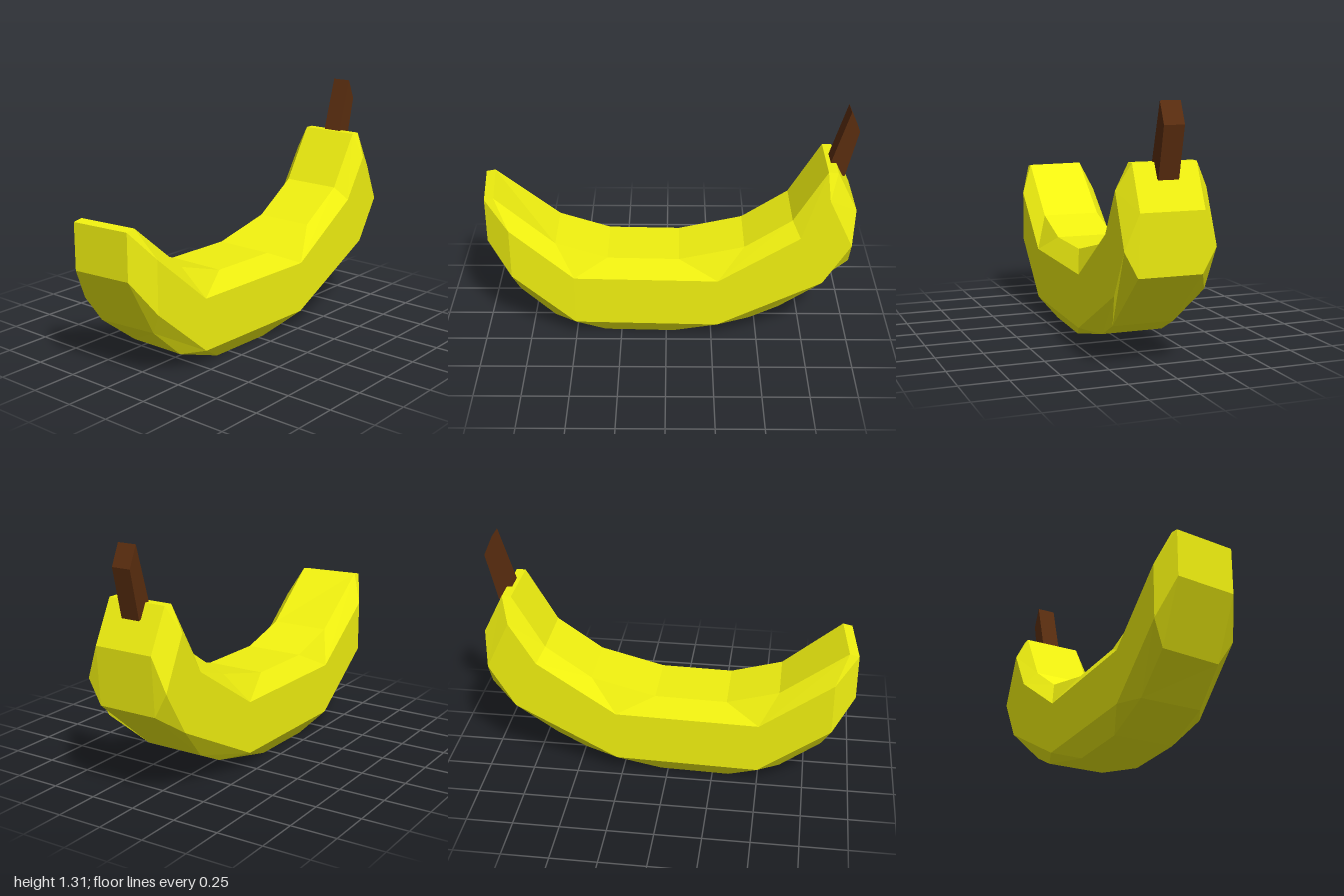
import * as THREE from 'three';

// Side outline stations, clockwise seen from +x, all [z, y].
// side: corner of the flat flank; rim: the one or two points it bevels to on the narrower rim.
const STATIONS = [
  { side: [0.88, 0.67], rim: [[1.0, 0.82], [0.95, 0.83]] }, // front tip, top
  { side: [0.5, 0.38], rim: [[0.6, 0.56], [0.32, 0.475]] },
  { side: [-0.28, 0.38], rim: [[-0.07, 0.475], [-0.42, 0.56]] },
  { side: [-0.71, 0.66], rim: [[-0.67, 0.73]] },
  { side: [-0.85, 0.89], rim: [[-0.84, 1.02], [-0.89, 1.02]] }, // neck under the stem
  { side: [-0.98, 0.62], rim: [[-1.0, 0.8], [-0.98, 0.49]] },
  { side: [-0.84, 0.385], rim: [[-0.62, 0.18]] },
  { side: [-0.28, 0.095], rim: [[-0.46, 0.1], [-0.04, 0]] }, // underside
  { side: [0.5, 0.095], rim: [[0.34, 0], [0.62, 0.095]] },
  { side: [0.88, 0.385], rim: [[0.84, 0.265], [1.0, 0.57]] }, // front tip, bottom
];
const SIDE_HALF = 0.235;
const RIM_HALF = 0.165;

// Place an outline point, with the fruit's slight sideways lean and slanted front tip.
function place([z, y], x) {
  const px = x - 0.03 * z;
  const pz = z > 0.8 ? z - 0.1 * (px + 0.2) : z;
  return [px, y, pz];
}

function bodyGeometry() {
  const pos = [];
  const face = (pts, flip = false) => {
    const p = flip ? [...pts].reverse() : pts;
    for (let i = 1; i < p.length - 1; i++) pos.push(...p[0], ...p[i], ...p[i + 1]);
  };
  const n = STATIONS.length;

  // Flat flanks
  const outline = STATIONS.map((s) => new THREE.Vector2(...s.side));
  const tris = THREE.ShapeUtils.triangulateShape(outline, []);
  for (const sx of [1, -1]) {
    for (const t of tris) {
      const facesLeft = THREE.ShapeUtils.area(t.map((i) => outline[i])) < 0;
      face(t.map((i) => place(STATIONS[i].side, sx * SIDE_HALF)), facesLeft !== (sx > 0));
    }
    // Bevels from flank to rim
    for (let i = 0; i < n; i++) {
      const a = STATIONS[i], b = STATIONS[(i + 1) % n];
      const S = (p) => place(p, sx * SIDE_HALF);
      const R = (p) => place(p, sx * RIM_HALF);
      if (a.rim.length === 2) face([S(a.side), R(a.rim[1]), R(a.rim[0])], sx < 0);
      face([S(a.side), S(b.side), R(b.rim[0]), R(a.rim.at(-1))], sx < 0);
    }
  }

  // Rim band running all the way round
  const rim = STATIONS.flatMap((s) => s.rim);
  rim.forEach((p, i) => {
    const q = rim[(i + 1) % rim.length];
    face([place(p, -RIM_HALF), place(p, RIM_HALF), place(q, RIM_HALF), place(q, -RIM_HALF)]);
  });

  const geo = new THREE.BufferGeometry();
  geo.setAttribute('position', new THREE.Float32BufferAttribute(pos, 3));
  geo.computeVertexNormals();
  return geo;
}

// Stem: a four-sided profile in z and y, extruded across x
function stemGeometry() {
  const profile = [[-0.85, 0.98], [-0.95, 1.31], [-1.0, 1.2], [-0.94, 0.94]];
  const shape = new THREE.Shape(profile.map(([z, y]) => new THREE.Vector2(-z, y)));
  const geo = new THREE.ExtrudeGeometry(shape, { depth: 0.105, bevelEnabled: false });
  return geo.rotateY(Math.PI / 2).translate(-0.025, 0, 0);
}

export function createModel() {
  const group = new THREE.Group();
  group.name = 'banana';
  const add = (name, geometry, color) => {
    const mesh = new THREE.Mesh(geometry, new THREE.MeshStandardMaterial({ color, flatShading: true }));
    mesh.name = name;
    group.add(mesh);
  };
  add('peel', bodyGeometry(), 0xf0f010);
  add('stem', stemGeometry(), 0x5a2d0f);
  return group;
}
